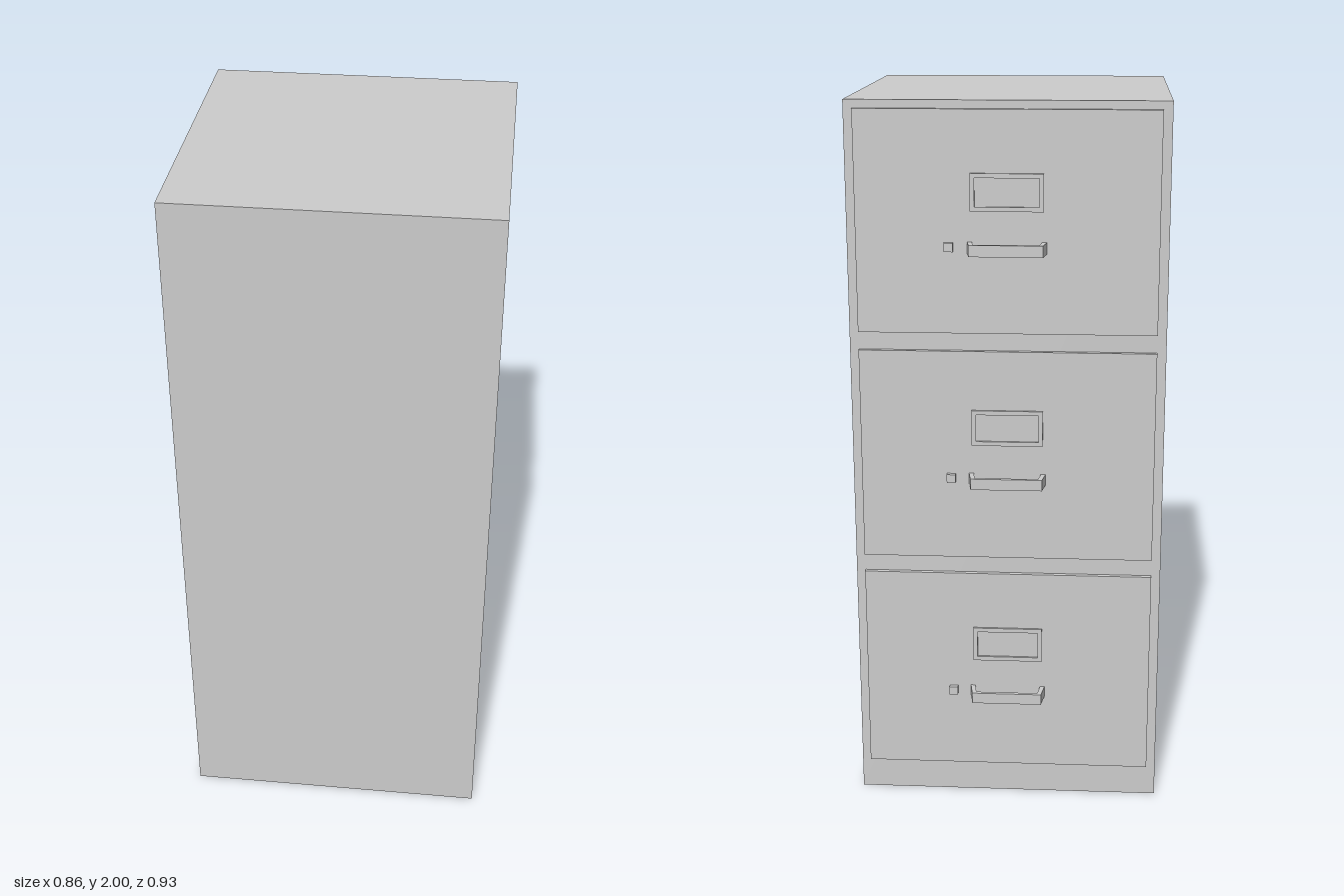
import * as THREE from 'three';

const material = new THREE.MeshStandardMaterial({ color: 0xcccccc, flatShading: true });
const shellMaterial = new THREE.MeshStandardMaterial({ color: 0xcccccc, flatShading: true, side: THREE.DoubleSide });

const BACK = -0.397;   // cabinet plane that carries the drawers
const FACE = -0.41;    // outer face of the drawers

function add(parent, name, geometry, x = 0, y = 0, z = 0, mat = material) {
  const mesh = new THREE.Mesh(geometry, mat);
  mesh.name = name;
  mesh.position.set(x, y, z);
  parent.add(mesh);
  return mesh;
}

const polygon = (points) => points.map(([x, y]) => new THREE.Vector2(x, y));

// Thin cabinet shell, open underneath
function shellGeometry(w, h, d) {
  const geometry = new THREE.BoxGeometry(w, h, d);
  const index = Array.from(geometry.index.array);
  index.splice(18, 6); // drop the bottom face
  geometry.setIndex(index);
  geometry.clearGroups();
  return geometry;
}

// Rectangular frame around the label opening
function labelFrameGeometry(w, h, border, depth) {
  const rect = (a, b) => polygon([[-a, -b], [a, -b], [a, b], [-a, b]]);
  const shape = new THREE.Shape(rect(w / 2, h / 2));
  shape.holes.push(new THREE.Path(rect(w / 2 - border, h / 2 - border)));
  return new THREE.ExtrudeGeometry(shape, { depth, bevelEnabled: false });
}

// Flat bracket pull with slightly splayed legs, outline in plan
function handleGeometry(height) {
  const half = [[0.106, 0], [0.098, 0.053], [-0.098, 0.053], [-0.106, 0],
    [-0.093, 0], [-0.087, 0.043], [0.087, 0.043], [0.093, 0]];
  const geometry = new THREE.ExtrudeGeometry(new THREE.Shape(polygon(half)), { depth: height, bevelEnabled: false });
  geometry.rotateX(-Math.PI / 2); // outline +y becomes -z, depth becomes +y
  return geometry;
}

// One drawer, with y = 0 at its lower edge
function createDrawer() {
  const drawer = new THREE.Group();
  const height = 0.595;
  add(drawer, 'drawerFront', new THREE.BoxGeometry(0.808, height, BACK - FACE), 0, height / 2, (BACK + FACE) / 2);
  add(drawer, 'labelFrame', labelFrameGeometry(0.195, 0.1, 0.012, 0.006), 0, 0.38, FACE - 0.006);
  add(drawer, 'handle', handleGeometry(0.031), 0, 0.218, FACE);
  add(drawer, 'lock', new THREE.BoxGeometry(0.024, 0.024, 0.013), 0.155, 0.235, FACE - 0.0065);
  return drawer;
}

export function createModel() {
  const model = new THREE.Group();
  model.name = 'filingCabinet';
  add(model, 'cabinetShell', shellGeometry(0.858, 2, 0.86), 0, 1, BACK + 0.43, shellMaterial);

  // Three equal drawers stacked at a constant pitch
  for (let i = 0; i < 3; i++) {
    const drawer = createDrawer();
    drawer.name = `drawer${i + 1}`;
    drawer.position.y = 0.093 + i * 0.645;
    model.add(drawer);
  }
  return model;
}
